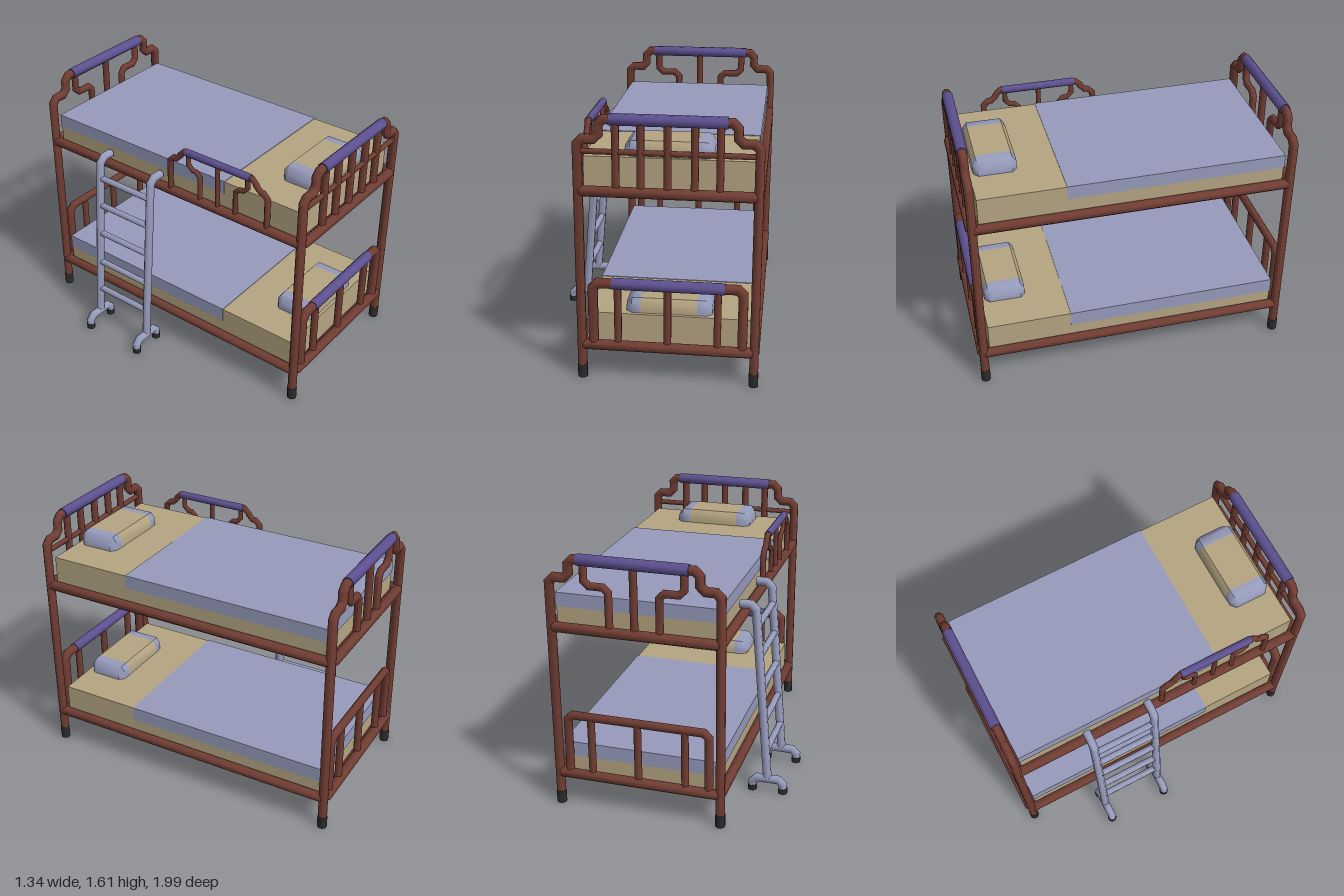
import * as THREE from 'three';
import { toCreasedNormals } from 'three/addons/utils/BufferGeometryUtils.js';

const mat = (name, color) => {
  const m = new THREE.MeshStandardMaterial({ color });
  m.name = name;
  return m;
};
const V = (x, y, z) => new THREE.Vector3(x, y, z);

// Skin a list of rings (counter-clockwise around the travel direction)
function loft(rings, closed = false) {
  const n = rings[0].length, m = rings.length, idx = [];
  for (let i = 0; i < (closed ? m : m - 1); i++) {
    for (let j = 0; j < n; j++) {
      const a = i * n + j, b = i * n + (j + 1) % n, k = ((i + 1) % m) * n;
      const c = k + (j + 1) % n, d = k + j;
      idx.push(a, b, c, a, c, d);
    }
  }
  if (!closed) {
    const e = (m - 1) * n;
    for (let j = 1; j < n - 1; j++) idx.push(0, j + 1, j, e, e + j, e + j + 1);
  }
  const g = new THREE.BufferGeometry().setFromPoints(rings.flat());
  g.setIndex(idx);
  return toCreasedNormals(g, 0.85);
}

// Eight-sided pipe along a planar path, each corner cut by a chamfer
function pipe(path, r, normal, closed = false, chamfer = 0.03) {
  const n = path.length, pts = [];
  path.forEach((p, i) => {
    if (!closed && (i === 0 || i === n - 1)) return pts.push(p);
    for (const q of [path[(i + n - 1) % n], path[(i + 1) % n]])
      pts.push(p.clone().addScaledVector(q.clone().sub(p).normalize(), chamfer));
  });
  const m = pts.length;
  const rings = pts.map((p, i) => {
    const prev = closed || i > 0 ? pts[(i + m - 1) % m] : null;
    const next = closed || i < m - 1 ? pts[(i + 1) % m] : null;
    const a = prev ? p.clone().sub(prev).normalize() : next.clone().sub(p).normalize();
    const b = next ? next.clone().sub(p).normalize() : a;
    const t = a.clone().add(b).normalize();
    const side = normal.clone().cross(t).multiplyScalar(1 / t.dot(a));
    return Array.from({ length: 8 }, (_, k) => {
      const w = (k + 0.5) * Math.PI / 4;
      return p.clone().addScaledVector(side, r * 1.04 * Math.cos(w)).addScaledVector(normal, r * 1.04 * Math.sin(w));
    });
  });
  return loft(rings, closed);
}

export function createModel() {
  const model = new THREE.Group();
  model.name = 'bunkBed';
  const brown = mat('brown frame', 0x6f3c32), purple = mat('purple padding', 0x5d5090);
  const blue = mat('blue grey', 0x969bbb), tan = mat('tan bedding', 0xb5a582), black = mat('black rubber', 0x2b2b2b);

  const CX = 0.135, X0 = -0.37, X1 = 0.64, ZE = 0.96;
  const NZ = V(0, 0, 1), NX = V(1, 0, 0), NY = V(0, 1, 0);
  const add = (name, geo, material) => {
    const mesh = new THREE.Mesh(geo, material);
    mesh.name = name;
    model.add(mesh);
    return mesh;
  };
  const box = (name, x0, x1, y0, y1, z0, z1, material) =>
    add(name, new THREE.BoxGeometry(x1 - x0, y1 - y0, z1 - z0), material)
      .position.set((x0 + x1) / 2, (y0 + y1) / 2, (z0 + z1) / 2);
  // Pipes in an end plane (x, y at fixed z) and in a side plane (z, y at fixed x)
  const endPipe = (name, z, pts, r, material = brown) =>
    add(name, pipe(pts.map(([x, y]) => V(x, y, z)), r, NZ), material);
  const sidePipe = (name, x, pts, r, material = brown) =>
    add(name, pipe(pts.map(([z, y]) => V(x, y, z)), r, NX), material);

  // Posts joined by a stepped arch, at both ends
  for (const z of [ZE, -ZE]) {
    endPipe('postArch', z, [[X0, 0.08], [X0, 1.465], [-0.25, 1.465], [-0.25, 1.58],
      [0.52, 1.58], [0.52, 1.465], [X1, 1.465], [X1, 0.08]], 0.027);
    endPipe('archPadding', z, [[-0.19, 1.58], [0.465, 1.58]], 0.033, purple);
    for (const x of [X0, X1]) endPipe('postFoot', z, [[x, 0], [x, 0.082]], 0.029, black);
  }

  // Upper headboard bars and cross rail
  for (const d of [-0.29, -0.15, 0, 0.15, 0.29])
    endPipe('headboardBar', ZE, [[CX + d, 1.16], [CX + d, 1.58]], 0.022);
  endPipe('headboardRail', ZE, [[X0, 1.395], [X1, 1.395]], 0.016);

  // Upper footboard: a straight bar between two stepped bars
  endPipe('footboardBar', -ZE, [[CX, 1.16], [CX, 1.58]], 0.022);
  for (const s of [-1, 1])
    endPipe('footboardSteppedBar', -ZE, [[CX + s * 0.295, 1.58], [CX + s * 0.295, 1.43],
      [CX + s * 0.15, 1.43], [CX + s * 0.15, 1.16]], 0.022);

  // Lower end boards, padded at the head only
  for (const z of [ZE, -ZE]) {
    endPipe('lowerEndHoop', z, [[-0.3, 0.215], [-0.3, 0.605], [0.57, 0.605], [0.57, 0.215]], z > 0 ? 0.029 : 0.025);
    for (const d of [-0.29, 0, 0.29])
      endPipe('lowerEndBar', z, [[CX + d, 0.215], [CX + d, 0.605]], 0.022);
  }
  endPipe('lowerPadding', ZE, [[-0.19, 0.605], [0.465, 0.605]], 0.033, purple);

  // Pillow cross-section at distance d from its middle
  const pillowRing = (d, w, h, y) => [[w, 0], [-w, 0], [-w, 0.6 * h], [0.025 - w, h], [w - 0.025, h], [w, 0.6 * h]]
    .map(([z, dy]) => V(CX + d, y + dy, 0.77 + z));

  // Two bunks: frame, base, mattress, blanket and pillow
  for (const [y, top, hem] of [[1.165, 1.355, 1.275], [0.215, 0.4, 0.312]]) {
    add('bunkFrame', pipe([V(X0, y, 0.968), V(X1, y, 0.968), V(X1, y, -0.968), V(X0, y, -0.968)], 0.03, NY, true), brown);
    box('bunkBase', X0, X1, y - 0.025, y - 0.005, -0.96, 0.96, brown);
    box('mattress', -0.345, 0.62, y - 0.005, top, -0.92, 0.92, tan);
    box('blanket', -0.349, 0.624, hem, top + 0.004, -0.924, 0.4, blue);
    add('pillowMiddle', loft([pillowRing(-0.165, 0.13, 0.087, top), pillowRing(0.165, 0.13, 0.087, top)]), tan);
    for (const s of [-1, 1]) {
      const rings = [pillowRing(s * 0.165, 0.13, 0.087, top), pillowRing(s * 0.22, 0.128, 0.085, top),
        pillowRing(s * 0.253, 0.1, 0.05, top)];
      add('pillowEnd', loft(s > 0 ? rings : rings.reverse()), blue);
    }
  }

  // Guard rail on the ladder side
  const GZ = 0.37, GX = -0.372;
  sidePipe('guardRail', GX, [[0.725, 1.165], [0.725, 1.405], [0.645, 1.405], [0.645, 1.472],
    [0.095, 1.472], [0.095, 1.405], [0.015, 1.405], [0.015, 1.165]], 0.018);
  sidePipe('guardPadding', GX, [[0.605, 1.472], [0.135, 1.472]], 0.023, purple);
  sidePipe('guardBar', GX, [[GZ, 1.165], [GZ, 1.472]], 0.015);
  for (const s of [-1, 1])
    sidePipe('guardSteppedBar', GX, [[GZ + s * 0.215, 1.472], [GZ + s * 0.215, 1.365],
      [GZ + s * 0.13, 1.365], [GZ + s * 0.13, 1.165]], 0.015);

  // Ladder with hooked rails and forked feet
  const railX = (y) => -0.545 + 0.095 * (y - 0.09) / 1.145;
  for (const z of [-0.08, -0.49]) {
    endPipe('ladderRail', z, [[-0.355, 1.235], [-0.45, 1.235], [railX(0.09), 0.09]], 0.026, blue);
    endPipe('ladderFoot', z, [[-0.645, 0.034], [-0.645, 0.085], [-0.45, 0.085], [-0.45, 0.034]], 0.026, blue);
    for (const x of [-0.645, -0.45]) endPipe('ladderTip', z, [[x, 0], [x, 0.036]], 0.028, black);
  }
  for (const y of [0.27, 0.48, 0.7, 0.905, 1.1])
    sidePipe('ladderRung', railX(y), [[-0.08, y], [-0.49, y]], 0.02, blue);

  return model;
}
